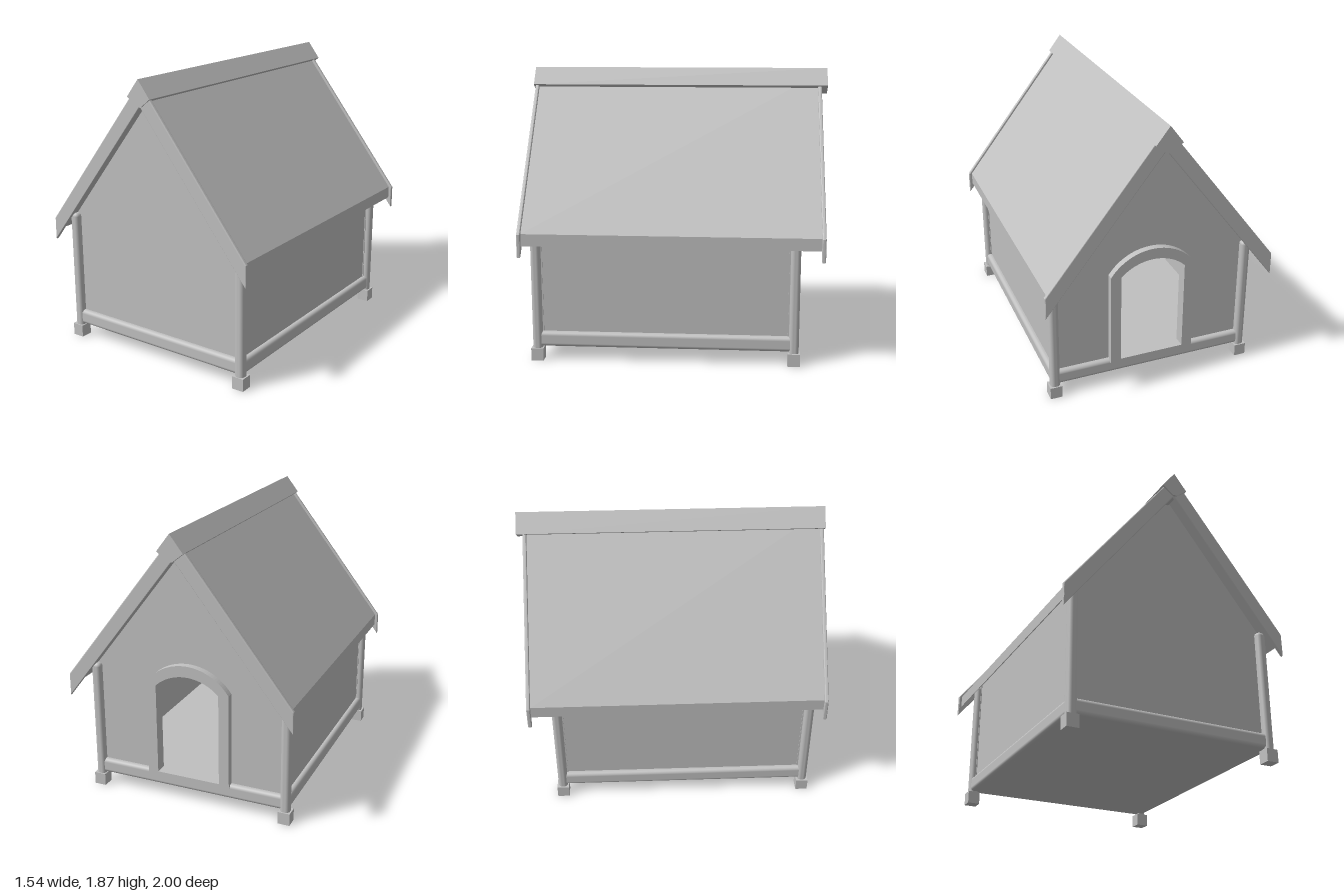
import * as THREE from 'three';
import { RoundedBoxGeometry } from 'three/addons/geometries/RoundedBoxGeometry.js';

export function createModel() {
  const model = new THREE.Group();
  const grey = new THREE.MeshStandardMaterial({ color: 0xc0c0c0 });
  grey.name = 'light grey';

  const SLOPE = 1.286;            // roof pitch
  const FRONT = 0.89, BACK = -0.78, MID = (FRONT + BACK) / 2; // post centres
  const POST_X = 0.668;

  function add(name, geometry, x = 0, y = 0, z = 0) {
    const mesh = new THREE.Mesh(geometry, grey);
    mesh.name = name;
    mesh.position.set(x, y, z);
    model.add(mesh);
    return mesh;
  }
  const polygon = (pts) => new THREE.Shape(pts.map(([x, y]) => new THREE.Vector2(x, y)));
  const extrude = (shape, depth, bevel = 0) => new THREE.ExtrudeGeometry(shape, {
    depth: depth - 2 * bevel, bevelEnabled: bevel > 0, bevelThickness: bevel,
    bevelSize: bevel, bevelOffset: -bevel, bevelSegments: 3, curveSegments: 20,
  }).translate(0, 0, bevel);

  // Inverted V cross-section between two apex heights
  const chevron = (halfWidth, low, high) => polygon([
    [-halfWidth, low - SLOPE * halfWidth], [0, low], [halfWidth, low - SLOPE * halfWidth],
    [halfWidth, high - SLOPE * halfWidth], [0, high], [-halfWidth, high - SLOPE * halfWidth],
  ]);

  // Door outline with a shallow arched head; works as shape or hole
  function doorway(path, halfWidth, bottom, spring, crown) {
    const rise = crown - spring;
    const radius = (halfWidth ** 2 + rise ** 2) / (2 * rise);
    const angle = Math.asin(halfWidth / radius);
    path.moveTo(-halfWidth, bottom);
    path.lineTo(halfWidth, bottom);
    path.lineTo(halfWidth, spring);
    path.absarc(0, crown - radius, radius, Math.PI / 2 - angle, Math.PI / 2 + angle, false);
    path.closePath();
    return path;
  }

  // Gable walls, the back one with the door opening
  const gable = () => polygon([
    [-0.665, 0.1], [0.665, 0.1], [0.665, 1.76 - SLOPE * 0.665],
    [0, 1.76], [-0.665, 1.76 - SLOPE * 0.665],
  ]);
  add('frontWall', extrude(gable(), 0.03), 0, 0, 0.85);
  const backShape = gable();
  backShape.holes.push(doorway(new THREE.Path(), 0.22, 0.19, 0.81, 0.9));
  add('backWall', extrude(backShape, 0.03), 0, 0, -0.77);

  // Arched door frame and sill
  const frame = doorway(new THREE.Shape(), 0.29, 0.17, 0.82, 0.975);
  frame.holes.push(doorway(new THREE.Path(), 0.22, 0.19, 0.81, 0.9));
  add('doorFrame', extrude(frame, 0.08), 0, 0, -0.815);

  // Floor
  add('floor', new THREE.BoxGeometry(1.33, 0.05, FRONT - BACK), 0, 0.118, MID);

  // Side walls, bottom rails, corner posts and feet
  for (const side of [-1, 1]) {
    add('sideWall', new THREE.BoxGeometry(0.03, 0.8, 1.64), side * 0.645, 0.5, MID);
    add('sideRail', new RoundedBoxGeometry(0.06, 0.1, FRONT - BACK, 4, 0.025),
      side * 0.662, 0.14, MID);
    for (const z of [FRONT, BACK]) {
      add('cornerPost', new RoundedBoxGeometry(0.064, 0.83, 0.064, 4, 0.025),
        side * POST_X, 0.475, z);
      add('foot', new THREE.BoxGeometry(0.08, 0.083, 0.08), side * 0.67, 0.0415, z);
    }
  }
  for (const [name, z] of [['frontRail', 0.882], ['backRail', -0.772]]) {
    add(name, new RoundedBoxGeometry(1.34, 0.1, 0.06, 4, 0.025), 0, 0.14, z);
  }

  // Roof panels, gable trim and ridge cap
  add('roof', extrude(chevron(0.75, 1.745, 1.825), 1.9), 0, 0, -0.935);
  const trim = chevron(0.77, 1.7, 1.85);
  add('frontTrim', extrude(trim, 0.025, 0.007), 0, 0, 0.965);
  add('backTrim', extrude(trim, 0.025, 0.007), 0, 0, -0.96);
  const cap = polygon([
    [-0.015, 1.7], [0.015, 1.7], [0.087, 1.757], [0, 1.87], [-0.087, 1.757],
  ]);
  add('ridgeCap', extrude(cap, 2), 0, 0, -1);

  return model;
}
